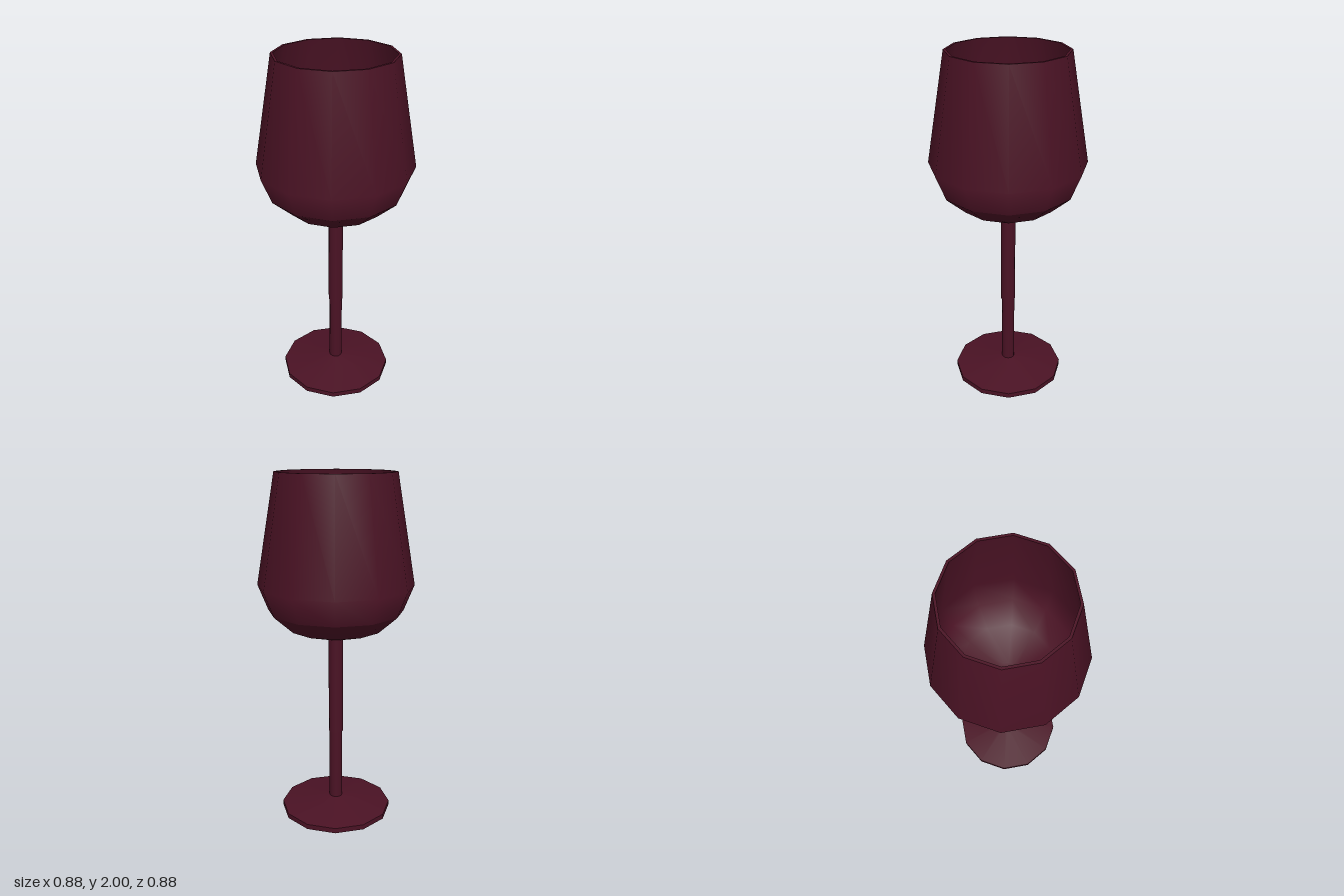
import * as THREE from 'three';
import { mergeGeometries } from 'three/addons/utils/BufferGeometryUtils.js';

const SIDES = 12;

export function createModel() {
  const group = new THREE.Group();
  const wine = new THREE.MeshStandardMaterial({ color: 0x4a1224 });

  // Each profile is smooth in itself; edges between profiles stay sharp.
  function addLathed(name, ...profiles) {
    const pieces = profiles.map((profile) =>
      new THREE.LatheGeometry(profile.map(([r, y]) => new THREE.Vector2(r, y)), SIDES));
    const mesh = new THREE.Mesh(mergeGeometries(pieces), wine);
    mesh.name = name;
    group.add(mesh);
  }

  // Foot: flat underside, short rim, gently sloping top
  addLathed('foot',
    [[0, 0], [0.325, 0]],
    [[0.325, 0], [0.325, 0.03]],
    [[0.325, 0.03], [0.038, 0.075]]);

  // Stem: slightly thicker upper half
  addLathed('stem',
    [[0.038, 0.07], [0.038, 0.5]],
    [[0.038, 0.5], [0.042, 0.5]],
    [[0.042, 0.5], [0.042, 1.075]]);

  // Bowl: rounded base, tapering wall, rim and hollow inside
  addLathed('bowl',
    [[0.04, 1.07], [0.27, 1.14], [0.383, 1.24]],
    [[0.383, 1.24], [0.441, 1.385], [0.334, 2]],
    [[0.334, 2], [0.32, 2]],
    [[0.32, 2], [0.427, 1.387], [0.372, 1.25], [0.262, 1.153], [0.058, 1.09], [0, 1.09]]);

  return group;
}
